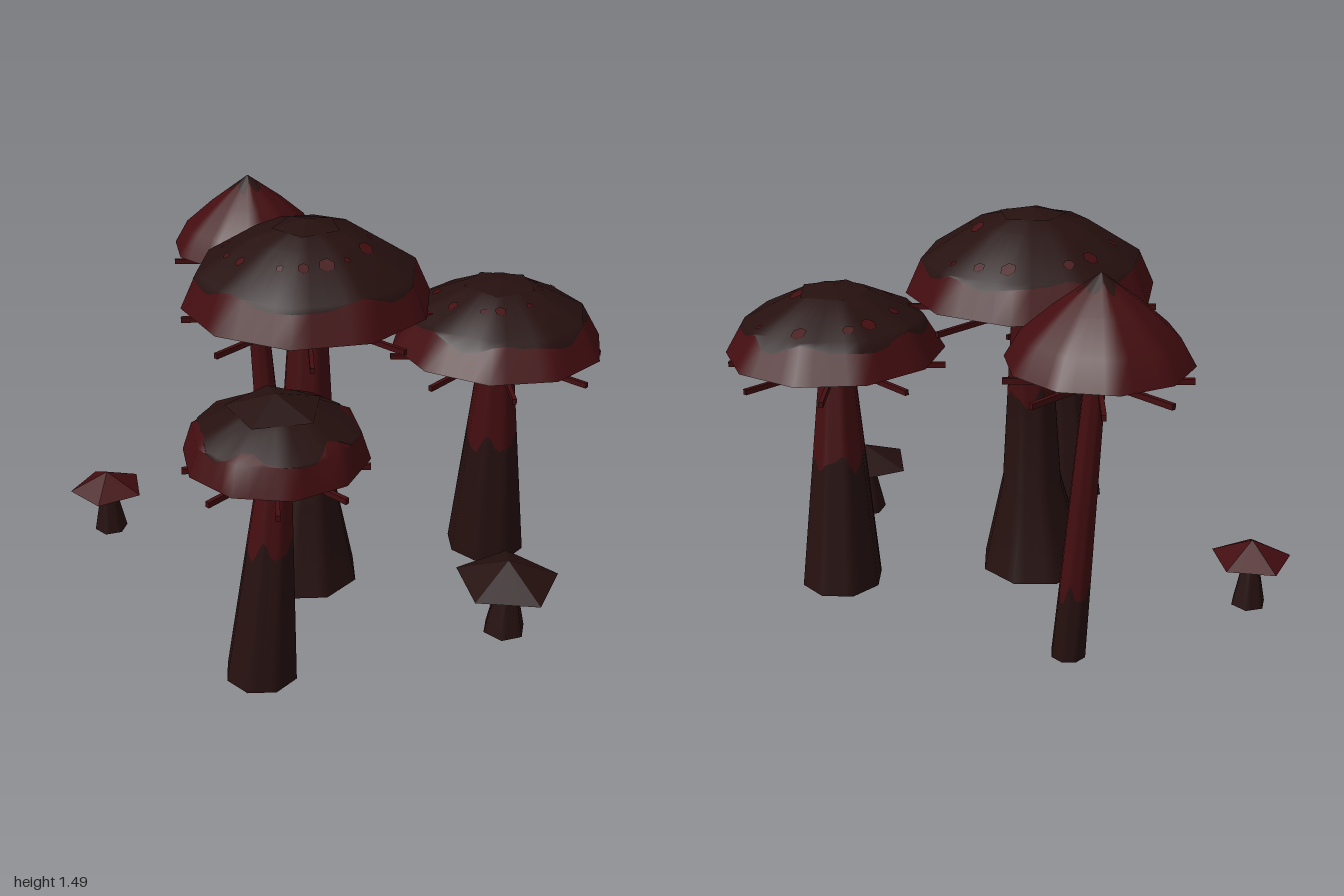
import * as THREE from 'three';

const red = new THREE.MeshStandardMaterial({ color: 0x430d10 });
red.name = 'deepRed';
const dark = new THREE.MeshStandardMaterial({ color: 0x25100f });
dark.name = 'darkBrown';

// Point on a polygonal tower of stations [y, radius, x, z], at angle step i of n * SUB
const SUB = 4;
function pointOn(stations, sides, phase, i, y) {
  let k = 0;
  while (k < stations.length - 2 && y > stations[k + 1][0]) k++;
  const a = stations[k], b = stations[k + 1];
  const t = THREE.MathUtils.clamp((y - a[0]) / (b[0] - a[0]), 0, 1);
  const [, r, x, z] = a.map((v, j) => v + (b[j] - v) * t);
  const side = Math.floor(i / SUB), f = i / SUB - side;
  const a0 = phase + (side / sides) * Math.PI * 2;
  const a1 = phase + ((side + 1) / sides) * Math.PI * 2;
  return new THREE.Vector3(
    x + r * (Math.cos(a0) * (1 - f) + Math.cos(a1) * f), y,
    z + r * (Math.sin(a0) * (1 - f) + Math.sin(a1) * f));
}

// Skin between two heights, each of which may vary round the tower
function skin(name, material, stations, sides, phase, opts = {}) {
  const lo = opts.lo || (() => stations[0][0]);
  const hi = opts.hi || (() => stations[stations.length - 1][0]);
  const n = sides * SUB, rows = stations.length + 2;
  const pos = [], index = [];
  for (let j = 0; j < rows; j++) {
    for (let i = 0; i < n; i++) {
      const l = lo(i), h = hi(i);
      const y = j === 0 ? l : j === rows - 1 ? h : THREE.MathUtils.clamp(stations[j - 1][0], l, h);
      const p = pointOn(stations, sides, phase, i, y);
      pos.push(p.x, p.y, p.z);
      if (j < rows - 1) {
        const a = j * n + i, b = j * n + (i + 1) % n;
        index.push(a, a + n, b, b, a + n, b + n);
      }
    }
  }
  let geo = new THREE.BufferGeometry();
  geo.setAttribute('position', new THREE.Float32BufferAttribute(pos, 3));
  geo.setIndex(index);
  if (opts.flat) geo = geo.toNonIndexed();
  geo.computeVertexNormals();
  const mesh = new THREE.Mesh(geo, material);
  mesh.name = name;
  return mesh;
}

// Uneven border between the two colours
const ragged = (y, amp) => (i) => y + amp * (Math.sin(i * 0.9 + y * 7) + 0.6 * Math.sin(i * 0.31 * 5 + 2)) / 1.6;

function makeStem(group, stations, split, sides = 8) {
  const phase = Math.PI / sides, [y, r, x, z] = stations[0];
  group.add(skin('stemBase', dark, [[y - 0.002, 0, x, z], [y, r, x, z]], sides, phase));
  if (!split) {
    group.add(skin('stem', dark, stations, sides, phase));
    return;
  }
  const edge = ragged(split, 0.05);
  group.add(skin('lowerStem', dark, stations, sides, phase, { hi: edge }));
  group.add(skin('upperStem', red, stations, sides, phase, { lo: edge }));
}

function makeMushroom(o) {
  const group = new THREE.Group();
  group.name = o.name;
  const [cx, cz] = o.centre;
  const at = (profile) => profile.map(([r, y]) => [y, r, cx, cz]);
  makeStem(group, o.stem, o.stemSplit);

  // cap: red rim, dark crown, red underside
  const top = at(o.cap), rim = o.cap[0];
  const edge = ragged(o.capSplit, o.ragged ?? 0.025);
  group.add(skin('capRim', red, top, 10, o.phase, { hi: edge }));
  group.add(skin('capCrown', dark, top, 10, o.phase, { lo: edge }));
  const under = at([[0, o.under - 0.002], [rim[0] * 0.47, o.under], rim]);
  group.add(skin('capUnderside', red, under, 10, o.phase));

  // raised five-sided tip
  if (o.tip) {
    const [r, y, h] = o.tip;
    group.add(skin('capTip', dark, at([[r, y], [0, y + h]]), 5, o.phase, { flat: true }));
  }

  // gill spokes under the cap
  for (let i = 0; i < 8; i++) {
    const spoke = new THREE.Mesh(new THREE.BoxGeometry(rim[0], 0.02, 0.016), red);
    spoke.name = 'gillSpoke';
    const a = (i / 8) * Math.PI * 2;
    spoke.position.set(cx + Math.cos(a) * rim[0] / 2, o.spokeY, cz + Math.sin(a) * rim[0] / 2);
    spoke.rotation.y = -a;
    group.add(spoke);
  }

  // red flecks lying on the crown
  for (let i = 0; i < (o.flecks || 0); i++) {
    const step = Math.floor(i * 40 * 0.382) % 40 + 0.5;
    const y = o.capSplit + 0.04 + (i * 0.618 % 1) * (o.cap[2][1] - o.capSplit - 0.04);
    const p = pointOn(top, 10, o.phase, step, y);
    const up = pointOn(top, 10, o.phase, step, y + 0.004).sub(p);
    const along = pointOn(top, 10, o.phase, step + 0.3, y).sub(p);
    const normal = up.cross(along).normalize();
    const fleck = new THREE.Mesh(new THREE.CircleGeometry(0.014 + 0.008 * (i % 3), 6), red);
    fleck.name = 'capFleck';
    fleck.position.copy(p).addScaledVector(normal, 0.004);
    fleck.quaternion.setFromUnitVectors(new THREE.Vector3(0, 0, 1), normal);
    group.add(fleck);
  }
  return group;
}

// Little five-sided mushroom
function makeSprout(name, [x, z], capR, rimY, topY, stemR, phase, material) {
  const group = new THREE.Group();
  group.name = name;
  makeStem(group, [[0.02, stemR, x, z], [rimY - 0.01, stemR * 0.45, x, z]], 0, 6);
  group.add(skin('cap', material, [[rimY, capR, x, z], [topY, 0, x, z]], 5, phase, { flat: true }));
  group.add(skin('capUnderside', material, [[rimY - 0.014, 0, x, z], [rimY, capR, x, z]], 5, phase, { flat: true }));
  return group;
}

export function createModel() {
  const model = new THREE.Group();
  model.name = 'mushroomCluster';
  model.add(
    makeMushroom({
      name: 'largeMushroom', centre: [-0.06, -0.03], phase: 0,
      cap: [[0.47, 1.185], [0.41, 1.315], [0.21, 1.44], [0, 1.49]],
      under: 1.13, capSplit: 1.3, tip: [0.13, 1.467, 0.028], spokeY: 1.11, flecks: 15,
      stem: [[0.01, 0.22, -0.1, -0.02], [0.38, 0.125, -0.085, -0.015], [1.13, 0.075, -0.057, -0.03]],
      stemSplit: 0.76,
    }),
    makeMushroom({
      name: 'frontLeftMushroom', centre: [0.515, 0.43], phase: 0.07,
      cap: [[0.41, 0.965], [0.33, 1.1], [0.13, 1.195], [0, 1.21]],
      under: 0.925, capSplit: 1.07, tip: [0.14, 1.197, 0.022], spokeY: 0.905, flecks: 11,
      stem: [[0.015, 0.16, 0.56, 0.405], [0.92, 0.066, 0.513, 0.435]],
      stemSplit: 0.54,
    }),
    makeMushroom({
      name: 'frontRightMushroom', centre: [-0.612, 0.34], phase: Math.PI / 10,
      cap: [[0.318, 0.895], [0.285, 0.995], [0.16, 1.06], [0, 1.118]],
      under: 0.85, capSplit: 1.0, tip: [0.17, 1.068, 0.052], spokeY: 0.838,
      stem: [[0.015, 0.135, -0.682, 0.315], [0.845, 0.06, -0.613, 0.335]],
      stemSplit: 0.55,
    }),
    makeMushroom({
      name: 'backMushroom', centre: [0.28, -0.68], phase: Math.PI / 10,
      cap: [[0.315, 1.15], [0.26, 1.245], [0.15, 1.34], [0, 1.45]],
      under: 1.1, capSplit: 1.405, ragged: 0.02, spokeY: 1.08,
      stem: [[0.012, 0.065, 0.31, -0.595], [1.1, 0.038, 0.285, -0.67]],
      stemSplit: 0.28,
    }),
    makeSprout('frontSprout', [0.11, 0.82], 0.2, 0.24, 0.325, 0.083, Math.PI, dark),
    makeSprout('backSprout', [-0.432, -0.845], 0.155, 0.213, 0.29, 0.068, 0, red),
  );
  return model;
}
